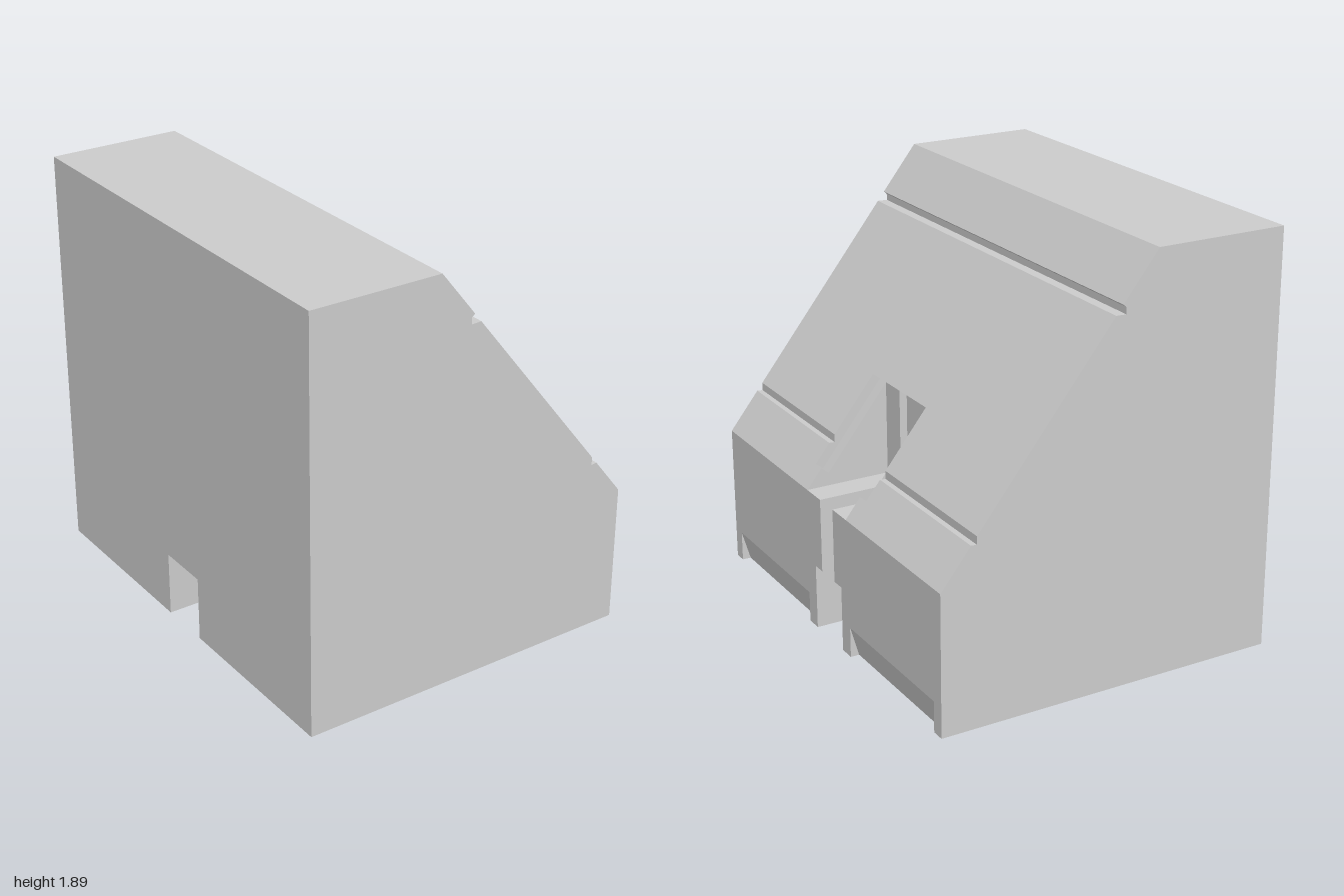
import * as THREE from 'three';

// height of the sloping face at x
const slope = (x) => [x, 0.64 + (0.8 - x) * 1.263];

// key points of the side profile, as [x, y]
const backTop = [-0.8, 1.89], backMid = [-0.8, 0.3], backFoot = [-0.8, 0];
const toeIn = [0.76, 0], toe = [0.8, 0], toeTop = [0.8, 0.14], frontMid = [0.8, 0.3], frontTop = [0.8, 0.64];
const lowerGroove = [slope(0.662), [0.635, 0.812], slope(0.635)];
const upperGroove = [slope(0.007), [-0.04, 1.64], [-0.04, 1.67], slope(-0.025)];
const ridge = [-0.19, 1.89];
// recess, pocket and slot
const recessLow = slope(0.73), recessLowIn = [0.695, 0.7];
const recessHigh = slope(0.44), recessHighIn = [0.405, 1.067];
const pocketFoot = [0.405, 0.64], slotFoot = [0.37, 0.3], slotHead = [0.37, 1.067];

export function createModel() {
  const group = new THREE.Group();
  const material = new THREE.MeshStandardMaterial({ color: 0xcccccc });
  let positions = [];

  // sweep a profile path along z (solid lies left of the path seen from +z)
  const strip = (path, z0, z1) => {
    for (let i = 0; i + 1 < path.length; i++) {
      const [a, b] = [path[i], path[i + 1]];
      positions.push(...a, z0, ...b, z0, ...b, z1, ...a, z0, ...b, z1, ...a, z1);
    }
  };
  // the same sweep on both sides
  const strips = (path, z0, z1) => {
    strip(path, z0, z1);
    strip(path, -z1, -z0);
  };
  // flat walls facing z on both sides, outward or towards the middle
  const walls = (outline, z, outward) => {
    const points = outline.map(([x, y]) => new THREE.Vector2(x, y));
    if (THREE.ShapeUtils.isClockWise(points)) points.reverse();
    for (const tri of THREE.ShapeUtils.triangulateShape(points, [])) {
      for (const side of [1, -1]) {
        const order = (side > 0) === outward ? tri : [...tri].reverse();
        for (const i of order) positions.push(points[i].x, points[i].y, side * z);
      }
    }
  };
  const finish = (name) => {
    const geometry = new THREE.BufferGeometry();
    geometry.setAttribute('position', new THREE.Float32BufferAttribute(positions, 3));
    geometry.computeVertexNormals();
    const mesh = new THREE.Mesh(geometry, material);
    mesh.name = name;
    group.add(mesh);
    positions = [];
  };

  // wedge body: upper slope, top, back, lower slope, front, underside, ends
  strip([recessHigh, ...upperGroove, ridge, backTop, backMid], -1, 1);
  strips([recessLow, ...lowerGroove, recessHigh], 0.24, 1);
  strips([frontTop, recessLow], 0.185, 1);
  strips([frontMid, frontTop], 0.06, 1);
  strips([toeTop, frontMid], 0.125, 1);
  strips([backMid, backFoot, toeIn], 0.125, 1);
  for (const [z0, z1] of [[0.125, 0.2], [0.94, 1]]) strips([toeIn, toe, toeTop], z0, z1);
  walls([backFoot, toe, frontTop, ...lowerGroove, ...upperGroove, ridge, backTop], 1, true);
  finish('wedgeBody');

  // tapered cuts along the bottom of the front
  strips([toeIn, toeTop], 0.2, 0.94);
  walls([toeIn, toe, toeTop], 0.2, true);
  walls([toeIn, toe, toeTop], 0.94, false);
  finish('toeCuts');

  // channel running under the whole body
  strip([backMid, slotFoot], -0.125, 0.125);
  strips([slotFoot, frontMid], 0.06, 0.125);
  walls([backFoot, toe, frontMid, backMid], 0.125, false);
  finish('bottomChannel');

  // narrow slot from the front down into the channel
  strip([slotFoot, slotHead, recessHighIn], -0.06, 0.06);
  walls([slotFoot, frontMid, frontTop, pocketFoot, recessHighIn, slotHead], 0.06, false);
  finish('centreSlot');

  // wider pocket with a level floor
  strips([frontTop, pocketFoot, recessHighIn], 0.06, 0.185);
  walls([pocketFoot, frontTop, recessLow, recessLowIn, recessHighIn], 0.185, false);
  finish('pocket');

  // shallow recess set square into the slope around the pocket
  strips([recessLow, recessLowIn, recessHighIn], 0.185, 0.24);
  strip([recessHighIn, recessHigh], -0.24, 0.24);
  walls([recessLow, ...lowerGroove, recessHigh, recessHighIn, recessLowIn], 0.24, false);
  finish('slopeRecess');

  return group;
}
